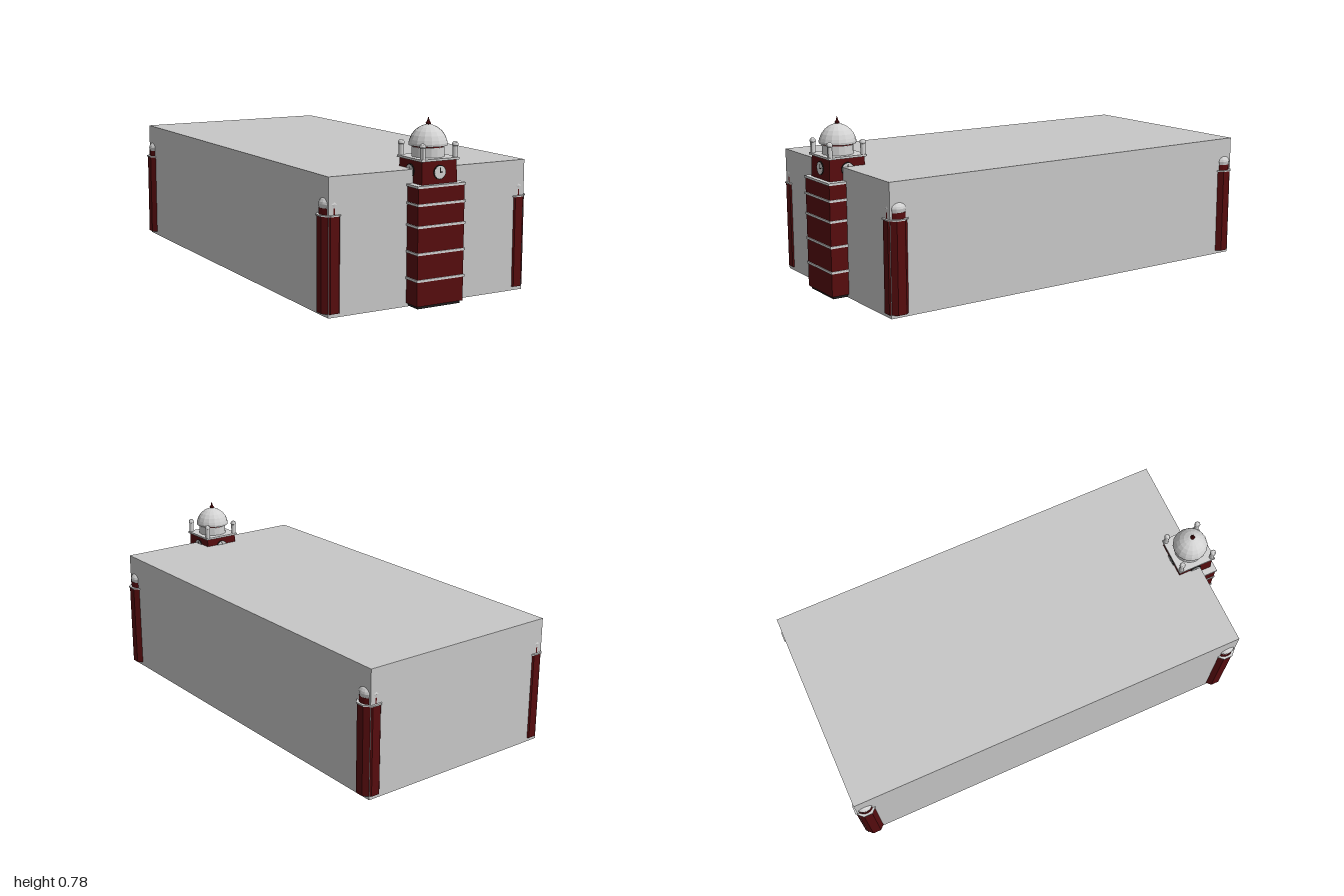
import * as THREE from 'three';

const mat = (name, color, flat = true) => {
  const m = new THREE.MeshStandardMaterial({ color, flatShading: flat });
  m.name = name;
  return m;
};

export function createModel() {
  const wall = mat('wall grey', 0xc8c8c8);
  const stone = mat('pale stone', 0xd2d2d2);
  const brick = mat('dark red brick', 0x560c0e);
  const black = mat('black', 0x1c1a1a);

  const model = new THREE.Group();
  model.name = 'clockTowerHall';

  const add = (parent, name, geo, material, x = 0, y = 0, z = 0) => {
    const mesh = new THREE.Mesh(geo, material);
    mesh.name = name;
    mesh.position.set(x, y, z);
    parent.add(mesh);
    return mesh;
  };
  const group = (parent, name, x = 0, y = 0, z = 0) => {
    const g = new THREE.Group();
    g.name = name;
    g.position.set(x, y, z);
    parent.add(g);
    return g;
  };
  // Box and cylinder given by their bottom and top heights
  const block = (parent, name, w, y0, y1, m) =>
    add(parent, name, new THREE.BoxGeometry(w, y1 - y0, w), m, 0, (y0 + y1) / 2, 0);
  const drum = (parent, name, rTop, rBottom, y0, y1, sides, m, x = 0, z = 0) =>
    add(parent, name, new THREE.CylinderGeometry(rTop, rBottom, y1 - y0, sides), m, x, (y0 + y1) / 2, z);
  const lathe = (parent, name, pts, sides, m, x = 0, z = 0) =>
    add(parent, name, new THREE.LatheGeometry(pts.map(p => new THREE.Vector2(...p)), sides), m, x, 0, z);

  // Main hall
  const front = 0.917, back = -0.99;
  add(model, 'hall', new THREE.BoxGeometry(0.962, 0.57, front - back), wall, 0, 0.285, (front + back) / 2);

  // Octagonal corner turrets, mostly sunk into the hall
  const apothem = 1 / Math.cos(Math.PI / 8);
  const turret = (x, z) => {
    const t = group(model, 'cornerTurret', x, 0, z);
    const octagon = (name, r, y0, y1, m) => {
      drum(t, name, r * apothem, r * apothem, y0, y1, 8, m).rotation.y = Math.PI / 8;
    };
    octagon('turretShaft', 0.047, 0.016, 0.41, brick);
    octagon('turretCornice', 0.051, 0.41, 0.416, stone);
    drum(t, 'turretNeck', 0.0417, 0.0417, 0.416, 0.442, 16, brick);
    lathe(t, 'turretDome', [
      [0, 0.442], [0.0405, 0.442], [0.0435, 0.458], [0.041, 0.467],
      [0.034, 0.477], [0.02, 0.487], [0, 0.493],
    ], 16, stone);
  };
  for (const x of [-0.454, 0.454]) for (const z of [0.876, -0.949]) turret(x, z);

  // Clock tower shaft with string courses
  const tower = group(model, 'clockTower', 0, 0, 0.884);
  block(tower, 'towerPlinth', 0.208, 0.004, 0.016, black);
  block(tower, 'towerShaft', 0.226, 0.016, 0.505, brick);
  for (const y of [0.123, 0.234, 0.345, 0.435, 0.508])
    block(tower, 'stringCourse', 0.234, y - 0.005, y + 0.005, stone);

  // Tapered clock stage
  const crown = group(tower, 'towerCrown', 0, 0, 0.01);
  const r2 = Math.SQRT2;
  drum(crown, 'clockStage', 0.083 * r2, 0.087 * r2, 0.512, 0.609, 4, brick).rotation.y = Math.PI / 4;

  // A clock on each side
  for (let i = 0; i < 4; i++) {
    const side = group(crown, 'clock');
    side.rotation.y = i * Math.PI / 2;
    const dial = group(side, 'clockFace', 0, 0.56, 0.085);
    const disc = (name, r, z, m) => {
      add(dial, name, new THREE.CylinderGeometry(r, r, 0.006, 24), m, 0, 0, z).rotation.x = Math.PI / 2;
    };
    disc('clockRim', 0.0295, 0.0005, black);
    disc('clockDial', 0.0265, 0.0015, stone);
    add(dial, 'minuteHand', new THREE.BoxGeometry(0.004, 0.02, 0.002), black, 0, 0.009, 0.005);
    add(dial, 'hourHand', new THREE.BoxGeometry(0.014, 0.004, 0.002), black, 0.006, 0, 0.005);
  }

  // Balcony slab with corner posts
  block(crown, 'balconySlab', 0.184, 0.607, 0.616, stone);
  for (const x of [-0.079, 0.079]) for (const z of [-0.079, 0.079]) {
    lathe(crown, 'cornerPost', [
      [0.011, 0.614], [0.011, 0.662], [0.0135, 0.664], [0.0135, 0.669],
      [0.011, 0.676], [0.006, 0.68], [0, 0.681],
    ], 12, stone, x, z);
  }

  // Drum, red band, dome and finial
  drum(crown, 'domeDrum', 0.068, 0.068, 0.614, 0.656, 16, stone);
  drum(crown, 'drumBand', 0.065, 0.065, 0.656, 0.664, 16, brick);
  lathe(crown, 'dome', [
    [0, 0.662], [0.08, 0.662], [0.081, 0.672], [0.077, 0.686], [0.069, 0.704],
    [0.056, 0.721], [0.038, 0.735], [0.018, 0.744], [0, 0.748],
  ], 16, stone);
  lathe(crown, 'finial', [
    [0, 0.745], [0.01, 0.747], [0.011, 0.752], [0.006, 0.759], [0.004, 0.765], [0, 0.779],
  ], 8, brick);

  return model;
}
